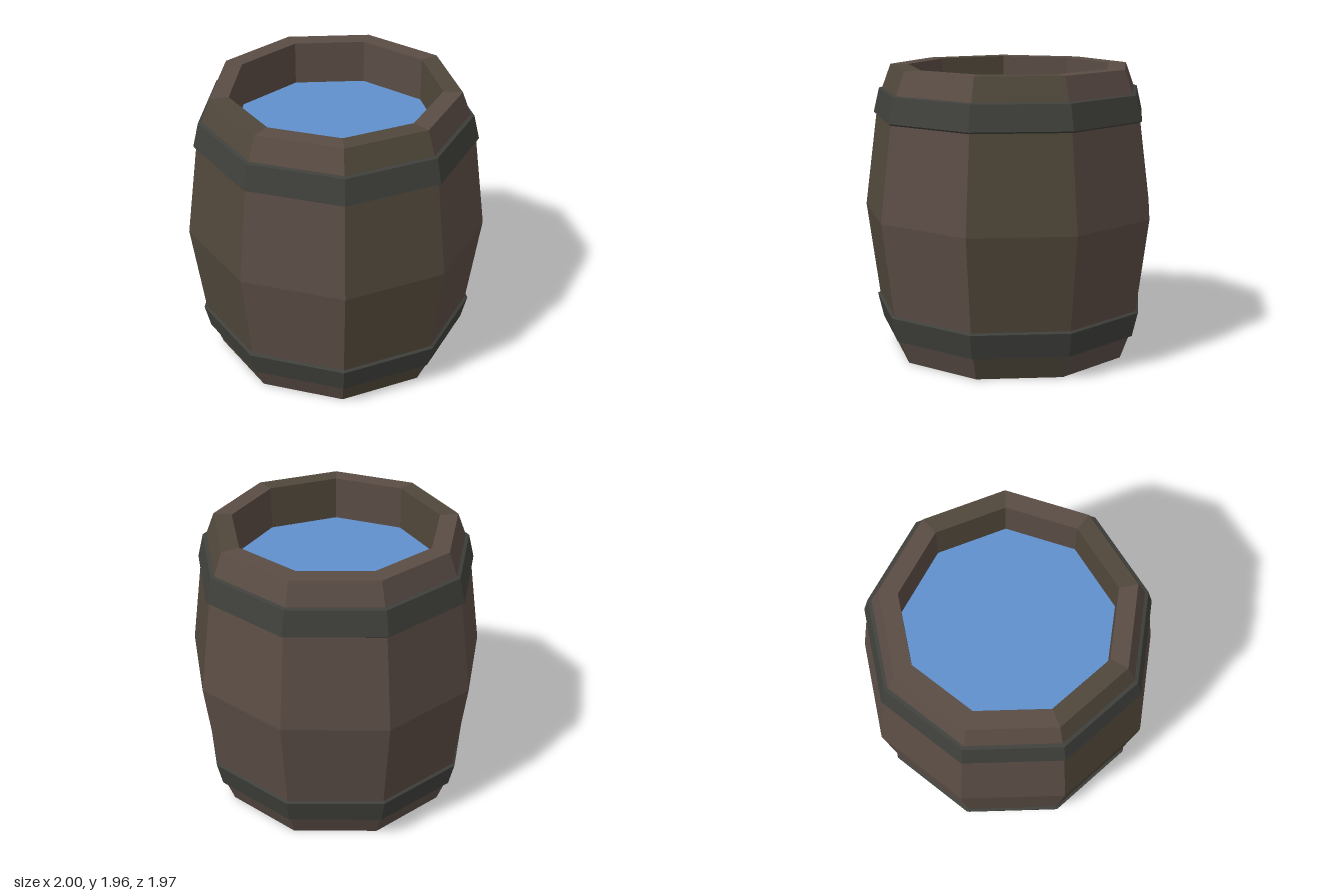
import * as THREE from 'three';

const SIDES = 9;
const HEIGHT = 1.955;
const STEP = (Math.PI * 2) / SIDES;
const INNER = 0.7;
const WATER_Y = 1.655;

const flat = (color) => new THREE.MeshStandardMaterial({ color, flatShading: true });
const points = (list) => list.map(([r, y]) => new THREE.Vector2(r, y));
const mirrorY = (list) => list.map(([r, y]) => [r, HEIGHT - y]).reverse();

function add(parent, name, geometry, material) {
  const mesh = new THREE.Mesh(geometry, material);
  mesh.name = name;
  parent.add(mesh);
  return mesh;
}

export function createModel() {
  const group = new THREE.Group();
  group.name = 'barrel';
  // the odd number of sides puts the axis slightly forward of the centre
  const body = new THREE.Group();
  body.name = 'barrelBody';
  body.position.z = 0.03;
  group.add(body);

  const wood = flat(0x5a4c45);
  const oliveWood = flat(0x50473a);
  const iron = flat(0x3f3f3b);
  const water = flat(0x6090cc);

  // staves: bulging outside, flat rim, straight inner wall down to the water
  const lower = [[0.825, 0], [0.885, 0.16], [0.93, 0.34]];
  const staveProfile = points([
    ...lower, [1.015, HEIGHT / 2], ...mirrorY(lower), [INNER, HEIGHT], [INNER, WATER_Y],
  ]);
  const oliveStaves = [2, 4, 6];
  for (let i = 0; i < SIDES; i++) {
    const geometry = new THREE.LatheGeometry(staveProfile, 1, Math.PI + i * STEP, STEP);
    add(body, `stave${i + 1}`, geometry, oliveStaves.includes(i) ? oliveWood : wood);
  }

  // iron hoops, the upper one mirrored from the lower
  const hoop = [[0.88, 0.155], [0.908, 0.163], [0.948, 0.33], [0.925, 0.345]];
  add(body, 'lowerHoop', new THREE.LatheGeometry(points(hoop), SIDES, Math.PI), iron);
  add(body, 'upperHoop', new THREE.LatheGeometry(points(mirrorY(hoop)), SIDES, Math.PI), iron);

  // bottom board
  const bottom = new THREE.CircleGeometry(0.825, SIDES, -Math.PI / 2);
  bottom.rotateX(Math.PI / 2);
  add(body, 'bottom', bottom, wood);

  // water surface
  const surface = new THREE.CircleGeometry(INNER, SIDES, Math.PI / 2);
  surface.rotateX(-Math.PI / 2);
  add(body, 'water', surface, water).position.y = WATER_Y;

  return group;
}
